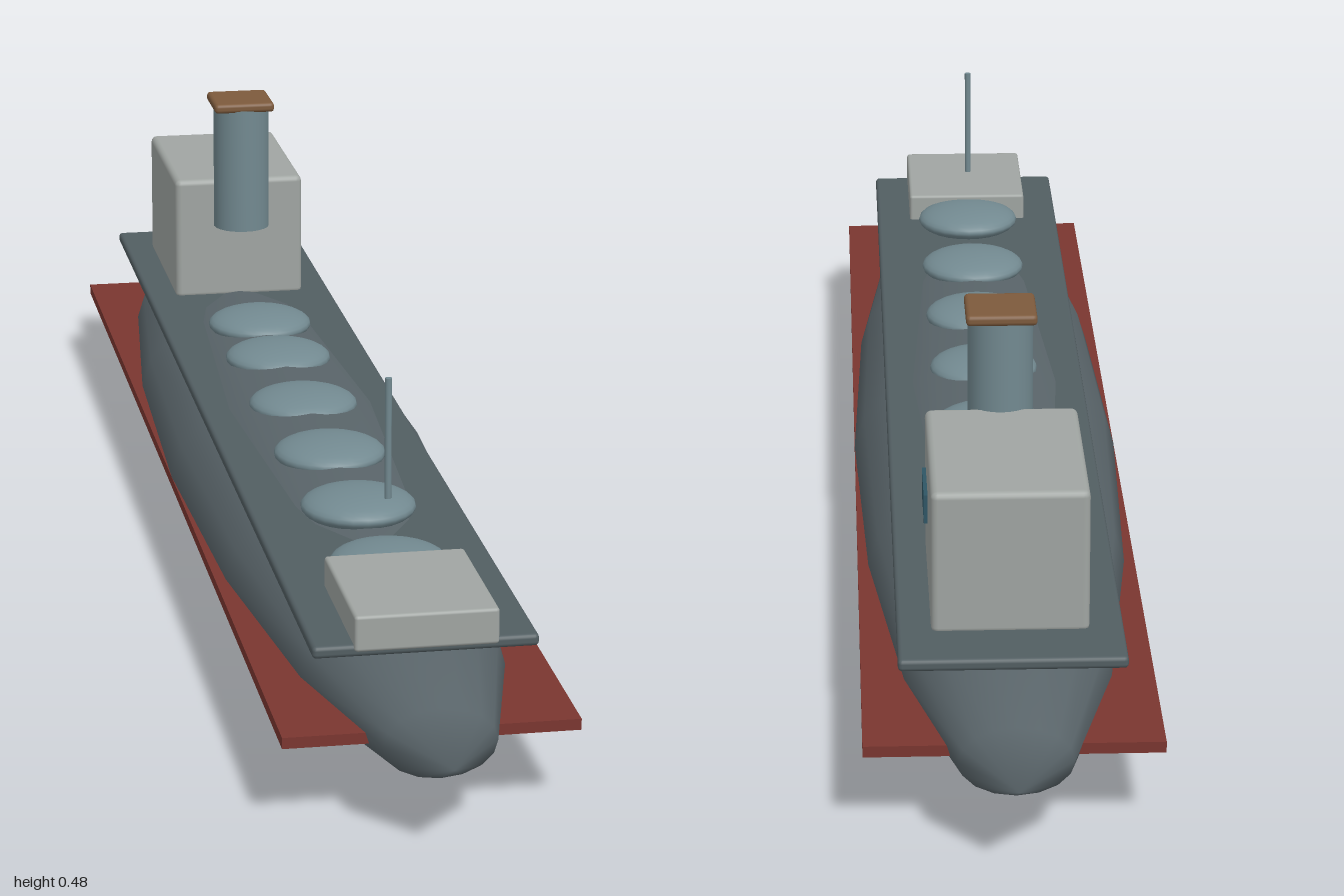
import * as THREE from 'three';
import { RoundedBoxGeometry } from 'three/addons/geometries/RoundedBoxGeometry.js';

const paint = (color) => new THREE.MeshStandardMaterial({ color });

export function createModel() {
  const ship = new THREE.Group();
  const hullGrey = paint(0x596469);
  const deckGrey = paint(0x525e62);
  const houseGrey = paint(0xa0a5a2);
  const steel = paint(0x728990);
  const red = paint(0x7a3630);
  const brown = paint(0x7d5a3c);
  const glass = paint(0x2f5665);

  const add = (name, geometry, material, x, y, z) => {
    const mesh = new THREE.Mesh(geometry, material);
    mesh.name = name;
    mesh.position.set(x, y, z);
    ship.add(mesh);
    return mesh;
  };
  const block = (w, h, d, r) => new RoundedBoxGeometry(w, h, d, 2, r);

  // Spindle-shaped hull, pointed at bow and stern
  const hull = new THREE.SphereGeometry(1, 16, 8);
  hull.rotateX(Math.PI / 2);
  hull.scale(0.167, 0.107, 1);
  add('hull', hull, hullGrey, 0, 0.108, 0);

  // Flat waterline plate and deck
  add('waterlineFins', new THREE.BoxGeometry(0.334, 0.013, 1.76), red, 0, 0.101, 0);
  add('deck', block(0.254, 0.014, 1.69, 0.005), deckGrey, 0, 0.188, -0.003);

  // Row of low tank domes along the deck
  for (const z of [-0.33, -0.175, 0.025, 0.222, 0.42, 0.618]) {
    const dome = new THREE.SphereGeometry(0.069, 24, 16);
    dome.scale(1, 0.3, 1);
    add('tankDome', dome, steel, 0, 0.206, z);
  }

  // Stern deckhouse with a window on its left side
  add('deckhouse', block(0.177, 0.17, 0.259, 0.008), houseGrey, 0, 0.275, -0.641);
  add('window', new THREE.BoxGeometry(0.01, 0.034, 0.085), glass, 0.088, 0.287, -0.597);

  // Funnel and its square cap
  add('funnel', new THREE.CylinderGeometry(0.038, 0.038, 0.17, 24), steel, 0, 0.385, -0.49);
  add('funnelCap', block(0.082, 0.013, 0.082, 0.005), brown, 0, 0.474, -0.494);

  // Bow platform and mast
  add('bowPlatform', block(0.162, 0.042, 0.197, 0.004), houseGrey, 0, 0.209, 0.748);
  add('mast', new THREE.CylinderGeometry(0.004, 0.004, 0.144, 12), steel, 0, 0.352, 0.608);

  return ship;
}
